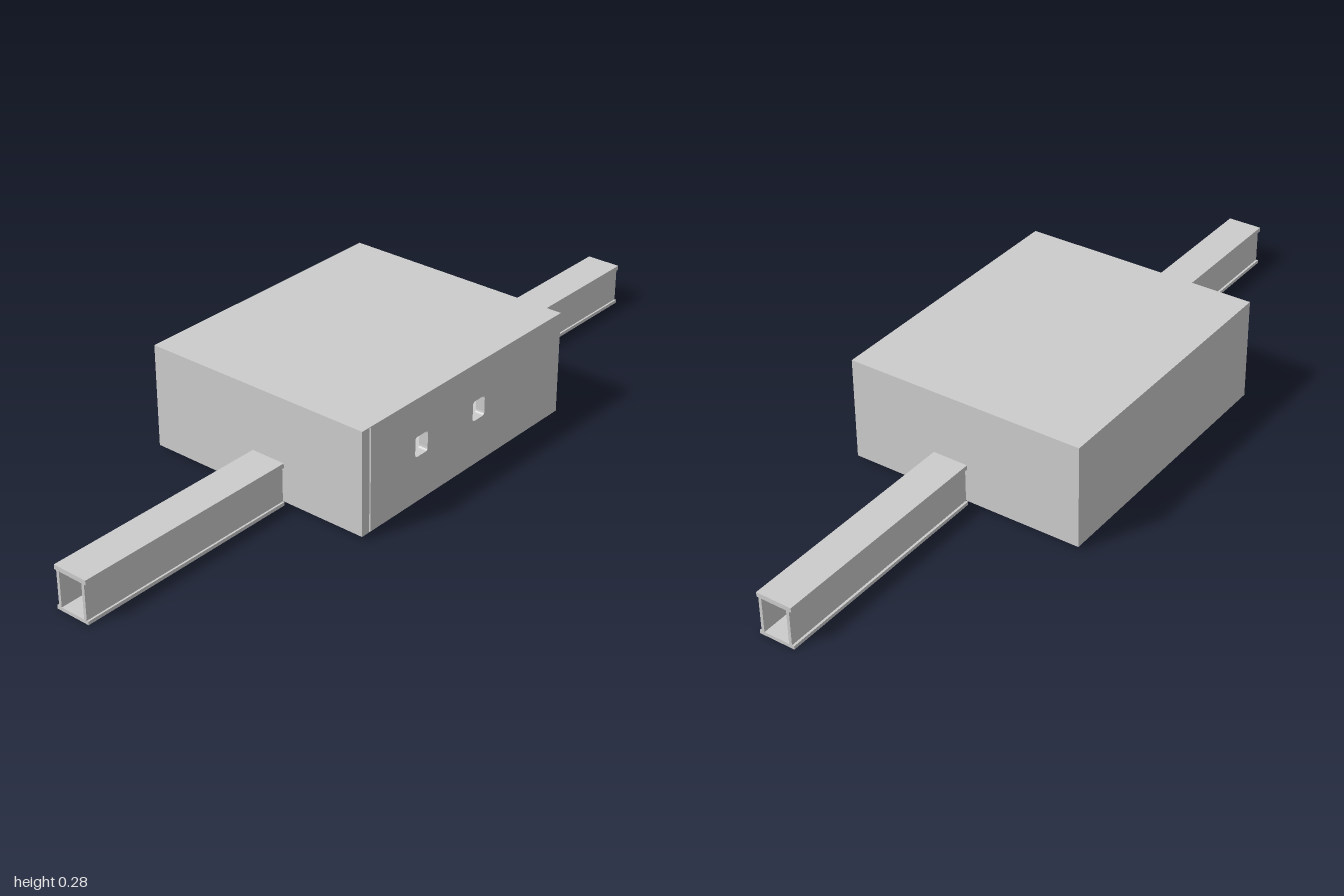
import * as THREE from 'three';

const grey = new THREE.MeshStandardMaterial({ color: 0xcccccc, flatShading: true });

// Box given by its extents along each axis
function block(name, [x0, x1], [y0, y1], [z0, z1]) {
  const mesh = new THREE.Mesh(new THREE.BoxGeometry(x1 - x0, y1 - y0, z1 - z0), grey);
  mesh.name = name;
  mesh.position.set((x0 + x1) / 2, (y0 + y1) / 2, (z0 + z1) / 2);
  return mesh;
}

// Rectangle with rounded corners, traced onto a Shape or Path
function roundRect(path, x0, x1, y0, y1, r) {
  path.moveTo(x0 + r, y0);
  path.lineTo(x1 - r, y0);
  path.quadraticCurveTo(x1, y0, x1, y0 + r);
  path.lineTo(x1, y1 - r);
  path.quadraticCurveTo(x1, y1, x1 - r, y1);
  path.lineTo(x0 + r, y1);
  path.quadraticCurveTo(x0, y1, x0, y1 - r);
  path.lineTo(x0, y0 + r);
  path.quadraticCurveTo(x0, y0, x0 + r, y0);
  return path;
}

export function createModel() {
  const model = new THREE.Group();
  model.name = 'roomWithCorridors';

  const X0 = -0.38, X1 = 0.376, Z = 0.32, Y0 = 0.01, Y1 = 0.283;
  const wall = 0.025, skin = 0.002;

  // Room shell
  const room = new THREE.Group();
  room.name = 'room';
  room.add(block('roomFloor', [X0, X1], [Y0, Y0 + skin], [-Z, Z]));
  room.add(block('roomRoof', [X0, X1], [Y1 - skin, Y1], [-Z, Z]));
  const low = Y0 + skin, high = Y1 - skin;
  room.add(block('backWall', [X0 + wall, X1 - wall], [low, high], [-Z, -Z + wall]));

  // Front wall with two windows, leaving a narrow gap beside the right wall
  const front = new THREE.Shape();
  front.moveTo(X0 + wall + 0.005, low);
  front.lineTo(X1, low);
  front.lineTo(X1, high);
  front.lineTo(X0 + wall + 0.005, high);
  front.closePath();
  for (const x of [-0.168, 0.049])
    front.holes.push(roundRect(new THREE.Path(), x - 0.023, x + 0.023, 0.13, 0.183, 0.008));
  const frontWall = new THREE.Mesh(
    new THREE.ExtrudeGeometry(front, { depth: wall, bevelEnabled: false, curveSegments: 3 }), grey);
  frontWall.name = 'frontWall';
  frontWall.position.z = Z - wall;
  room.add(frontWall);

  // Side walls, each split around the doorway to its corridor
  const door = { z0: 0.004, z1: 0.073, top: 0.101 };
  for (const [side, x0, zFront] of [['right', X0, Z], ['left', X1 - wall, Z - wall]]) {
    const xs = [x0, x0 + wall];
    const sideWall = new THREE.Group();
    sideWall.name = side + 'Wall';
    sideWall.add(block('wallBehindDoor', xs, [low, high], [-Z, door.z0]));
    sideWall.add(block('wallBeforeDoor', xs, [low, high], [door.z1, zFront]));
    sideWall.add(block('wallOverDoor', xs, [door.top, high], [door.z0, door.z1]));
    room.add(sideWall);
  }
  model.add(room);

  // Corridors: overhanging floor and ceiling slabs with thin walls between
  for (const [side, xs] of [['right', [-1, X0]], ['left', [X1, 1]]]) {
    const corridor = new THREE.Group();
    corridor.name = side + 'Corridor';
    corridor.add(block('corridorFloor', xs, [0, 0.009], [-0.01, 0.086]));
    corridor.add(block('corridorCeiling', xs, [door.top, 0.113], [-0.01, 0.086]));
    corridor.add(block('corridorBackWall', xs, [0.009, door.top], [-0.004, door.z0]));
    corridor.add(block('corridorFrontWall', xs, [0.009, door.top], [door.z1, 0.081]));
    model.add(corridor);
  }
  return model;
}
